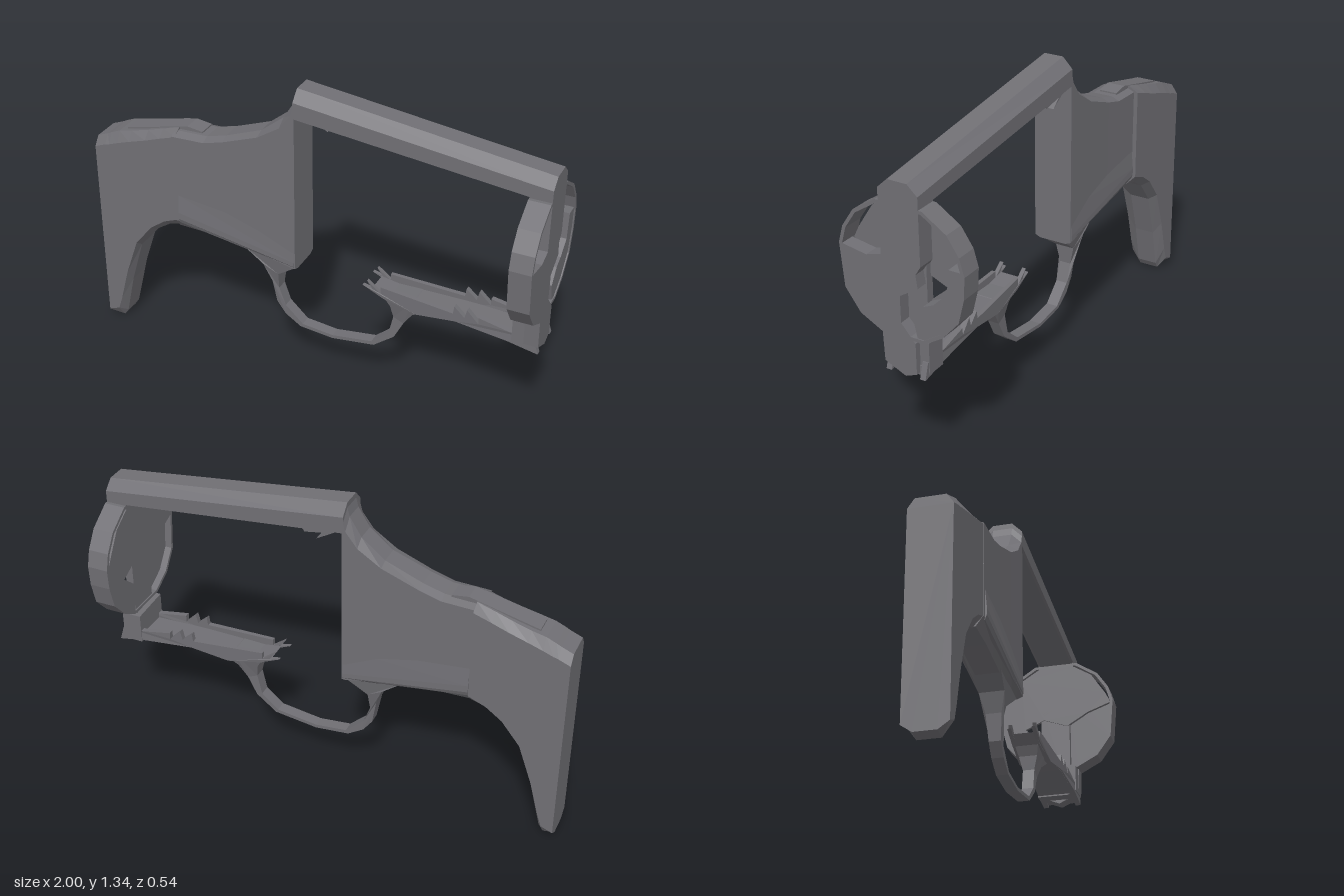
import * as THREE from 'three';

const steel = new THREE.MeshStandardMaterial({ color: 0x706f74, side: THREE.DoubleSide });
steel.name = 'gunmetal grey';
steel.flatShading = true;

function add(group, name, geometry) {
  const g = geometry.index ? geometry.toNonIndexed() : geometry;
  g.computeVertexNormals();
  const mesh = new THREE.Mesh(g, steel);
  mesh.name = name;
  group.add(mesh);
  return mesh;
}

// Loft of eight-sided sections along x.
// Station: [x, top, topSide, bottomSide, bottom, halfWidth, topHalf, bottomHalf]
function loft(stations, zOff = 0) {
  const pos = [], idx = [], n = 8;
  for (const [x, t, ts, bs, b, w, wt, wb] of stations) {
    const ring = [[w, ts], [wt, t], [-wt, t], [-w, ts], [-w, bs], [-wb, b], [wb, b], [w, bs]];
    for (const [z, y] of ring) pos.push(x, y, z + zOff);
  }
  for (let s = 0; s < stations.length - 1; s++) {
    for (let i = 0; i < n; i++) {
      const a = s * n + i, b = s * n + (i + 1) % n;
      idx.push(a, a + n, b, b, a + n, b + n);
    }
  }
  const e = (stations.length - 1) * n;
  for (let i = 1; i < n - 1; i++) idx.push(0, i, i + 1, e, e + i + 1, e + i);
  const g = new THREE.BufferGeometry();
  g.setAttribute('position', new THREE.Float32BufferAttribute(pos, 3));
  g.setIndex(idx);
  return g;
}

const toShape = (pts) => new THREE.Shape(pts.map(([a, b]) => new THREE.Vector2(a, b)));

// Plate outlined in (z, y), from x0 to x1
function crossPlate(pts, x0, x1, hole) {
  const flip = (list) => list.map(([z, y]) => [-z, y]);
  const shape = toShape(flip(pts));
  if (hole) shape.holes.push(toShape(flip(hole)));
  return new THREE.ExtrudeGeometry(shape, { depth: x1 - x0, bevelEnabled: false })
    .rotateY(Math.PI / 2).translate(x0, 0, 0);
}

// Plate outlined in (x, y), from z0 to z1
function sidePlate(pts, z0, z1) {
  return new THREE.ExtrudeGeometry(toShape(pts), { depth: z1 - z0, bevelEnabled: false })
    .translate(0, 0, z0);
}

// Scale z by a rule of x and y
function widen(g, rule) {
  const p = g.attributes.position;
  for (let i = 0; i < p.count; i++) p.setZ(i, p.getZ(i) * rule(p.getX(i), p.getY(i)));
  return g;
}

export function createModel() {
  const model = new THREE.Group();
  model.name = 'revolverFrame';

  // Grip with its flat rear end and bevelled underside
  add(model, 'grip', loft([
    [-1.00, 0.92, 0.88, 0.04, 0.01, 0.088, 0.06, 0.045],
    [-0.95, 0.94, 0.90, 0.06, 0.00, 0.088, 0.06, 0.045],
    [-0.93, 0.95, 0.905, 0.12, 0.03, 0.088, 0.06, 0.045],
    [-0.89, 0.967, 0.92, 0.27, 0.21, 0.088, 0.06, 0.045],
    [-0.83, 0.98, 0.94, 0.44, 0.41, 0.088, 0.06, 0.045],
    [-0.75, 1.00, 0.965, 0.54, 0.51, 0.088, 0.055, 0.045],
    [-0.68, 1.02, 0.99, 0.59, 0.555, 0.088, 0.05, 0.045],
    [-0.605, 1.04, 1.015, 0.62, 0.575, 0.088, 0.045, 0.045],
  ], -0.01));

  // Receiver behind the open window
  add(model, 'receiver', loft([
    [-0.62, 1.03, 1.015, 0.615, 0.575, 0.08, 0.045, 0.05],
    [-0.47, 1.035, 1.02, 0.61, 0.57, 0.08, 0.045, 0.05],
    [-0.38, 1.06, 1.045, 0.59, 0.555, 0.08, 0.045, 0.05],
    [-0.22, 1.12, 1.105, 0.56, 0.53, 0.082, 0.042, 0.05],
    [-0.12, 1.20, 1.17, 0.54, 0.525, 0.084, 0.042, 0.055],
    [-0.07, 1.28, 1.235, 0.53, 0.52, 0.085, 0.042, 0.06],
    [-0.055, 1.335, 1.29, 0.53, 0.52, 0.085, 0.042, 0.06],
  ]));

  // Raised tang along the top, and the slight swell low on each side
  add(model, 'tang', sidePlate([
    [-0.86, 0.965], [-0.60, 1.02], [-0.50, 1.02], [-0.50, 1.04], [-0.57, 1.05], [-0.86, 0.98],
  ], -0.05, 0.03));
  add(model, 'lowerSwell', loft([
    [-0.60, 0.74, 0.66, 0.63, 0.61, 0.088, 0.08, 0.08],
    [-0.06, 0.68, 0.56, 0.54, 0.53, 0.088, 0.08, 0.08],
  ]));

  // Chamfered strap over the window, with a broken stub under it
  add(model, 'topStrap', loft([
    [-0.06, 1.34, 1.295, 1.225, 1.22, 0.085, 0.042, 0.075],
    [1.00, 1.21, 1.17, 1.115, 1.11, 0.085, 0.042, 0.075],
  ]));
  add(model, 'strapStub', sidePlate([
    [-0.05, 1.23], [0.06, 1.165], [0.02, 1.20], [0.11, 1.185], [0.13, 1.215],
  ], -0.07, 0.02));

  // Round front shield: thin rim around an open middle
  const rim = [
    [0.27, 0.91], [0.25, 0.98], [0.20, 1.055], [0.10, 1.12], [-0.10, 1.12], [-0.20, 1.055],
    [-0.25, 0.98], [-0.27, 0.91], [-0.265, 0.82], [-0.24, 0.72], [-0.17, 0.64], [-0.09, 0.59],
    [0.095, 0.59], [0.19, 0.64], [0.255, 0.73],
  ];
  const inner = rim.map(([z, y]) => [z * 0.95, 0.86 + (y - 0.86) * 0.95]);
  add(model, 'shieldRim', crossPlate(rim, 0.91, 1.0, inner));

  // Rear face of the shield, with slits left against the rim
  add(model, 'shieldRear', crossPlate([
    [0.26, 0.90], [0.235, 0.95], [0.17, 1.05], [0.09, 1.10], [-0.09, 1.10], [-0.17, 1.05],
    [-0.235, 0.95], [-0.265, 0.90], [-0.26, 0.82], [-0.235, 0.72], [-0.165, 0.64], [-0.09, 0.60],
    [-0.06, 0.72], [-0.15, 0.80], [-0.06, 0.84], [0.05, 0.80], [0.15, 0.86],
  ], 0.91, 0.925));

  // Front faces, split by the winding groove
  add(model, 'shieldFrontNear', crossPlate([
    [0.27, 0.91], [0.15, 0.89], [0.05, 0.92], [0, 0.92], [-0.06, 0.88], [-0.07, 0.81], [0.01, 0.76],
    [0.01, 0.65], [-0.05, 0.58], [-0.05, 0.45], [0, 0.43], [0.09, 0.47], [0.095, 0.59],
    [0.19, 0.64], [0.255, 0.73],
  ], 0.94, 1.0));
  add(model, 'shieldFrontFar', crossPlate([
    [-0.085, 0.74], [-0.13, 0.76], [-0.19, 0.81], [-0.20, 0.92], [-0.265, 0.92], [-0.265, 0.82],
    [-0.24, 0.72], [-0.17, 0.64], [-0.09, 0.59], [-0.06, 0.59], [-0.04, 0.68],
  ], 0.94, 0.995));
  add(model, 'grooveFloor', crossPlate([
    [0.06, 0.92], [-0.075, 0.92], [-0.075, 0.62], [-0.06, 0.46], [0.06, 0.46],
  ], 0.915, 0.95));

  // Post from the strap down to the shield, and the foot below it
  add(model, 'frontPost', crossPlate([
    [0.085, 1.16], [-0.085, 1.16], [-0.085, 0.90], [-0.06, 0.86], [0, 0.90], [0.085, 0.90],
  ], 0.91, 1.0));
  add(model, 'frontFoot', crossPlate([
    [0.09, 0.59], [0.09, 0.47], [0.05, 0.45], [-0.09, 0.45], [-0.09, 0.58],
  ], 0.89, 0.975));

  // Lower rail: a shallow tray with notched walls and a ragged end
  const taper = (x) => 0.7 + 0.3 * Math.min(1, Math.max(0, (x - 0.3) / 0.5));
  const wall = [
    [0.48, 0.455], [0.65, 0.48], [0.87, 0.46], [1.0, 0.435], [0.98, 0.50], [0.88, 0.505], [0.75, 0.53],
    [0.75, 0.50], [0.70, 0.55], [0.69, 0.51], [0.645, 0.55], [0.64, 0.515], [0.32, 0.535],
    [0.32, 0.505], [0.26, 0.55], [0.285, 0.515], [0.24, 0.525], [0.33, 0.485],
  ];
  for (const s of [-1, 1]) {
    const z = s * 0.075;
    add(model, 'railWall', widen(sidePlate(wall, z - 0.012, z + 0.012), taper));
  }
  add(model, 'railFloor', widen(sidePlate([
    [0.48, 0.458], [0.65, 0.478], [0.87, 0.46], [0.98, 0.44], [0.98, 0.48], [0.65, 0.495],
    [0.36, 0.50], [0.28, 0.515], [0.33, 0.48],
  ], -0.08, 0.08), taper));

  // Trigger guard: slim hoop that flares where it joins the frame
  const hoop = sidePlate([
    [-0.32, 0.57], [-0.22, 0.49], [-0.19, 0.41], [-0.17, 0.30], [-0.13, 0.245], [-0.06, 0.20], [0.09, 0.185],
    [0.28, 0.21], [0.37, 0.28], [0.41, 0.36], [0.45, 0.42], [0.52, 0.465], [0.46, 0.50], [0.32, 0.50],
    [0.355, 0.44], [0.365, 0.38], [0.345, 0.29], [0.27, 0.225], [0.09, 0.20], [-0.05, 0.215], [-0.13, 0.29],
    [-0.16, 0.37], [-0.155, 0.45], [-0.06, 0.52], [-0.06, 0.56],
  ], -0.025, 0.025);
  add(model, 'triggerGuard', widen(hoop, (x, y) => 1 + 1.4 * Math.min(1, Math.max(0, (y - 0.38) / 0.14))));

  return model;
}
